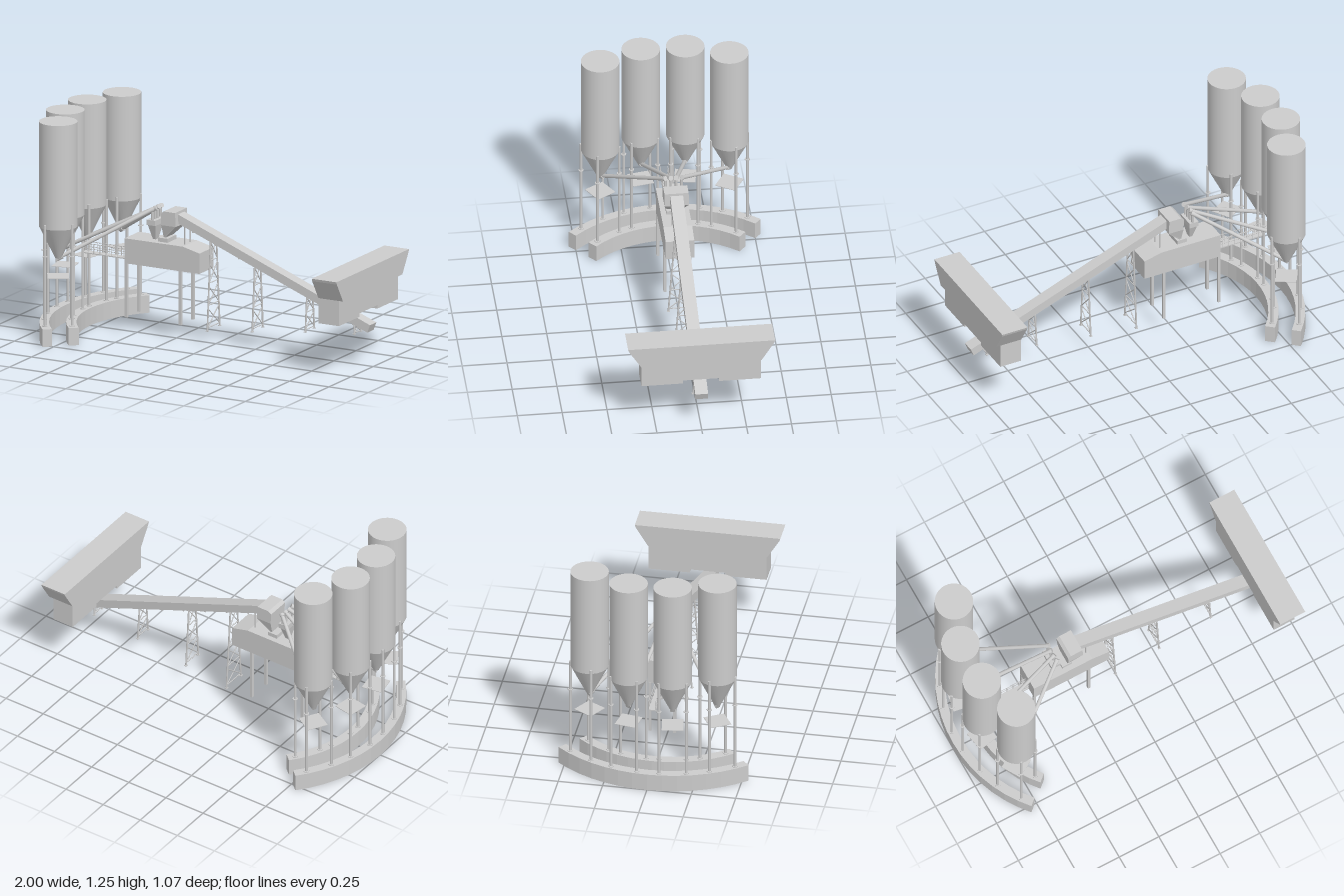
import * as THREE from 'three';

const V = (x, y, z) => new THREE.Vector3(x, y, z);

export function createModel() {
  const root = new THREE.Group();
  const flat = new THREE.MeshStandardMaterial({ color: 0xcccccc, flatShading: true });
  const smooth = new THREE.MeshStandardMaterial({ color: 0xcccccc });

  const add = (parent, name, geo, mat = flat) => {
    const m = new THREE.Mesh(geo, mat);
    m.name = name;
    parent.add(m);
    return m;
  };
  const group = (name) => {
    const g = new THREE.Group();
    g.name = name;
    root.add(g);
    return g;
  };
  // box given by its min and max corners
  const box = (parent, name, x0, x1, y0, y1, z0, z1) =>
    add(parent, name, new THREE.BoxGeometry(x1 - x0, y1 - y0, z1 - z0)
      .translate((x0 + x1) / 2, (y0 + y1) / 2, (z0 + z1) / 2));
  // round bar between two points
  const rod = (parent, name, a, b, r, sides = 8) => {
    const m = add(parent, name, new THREE.CylinderGeometry(r, r, a.distanceTo(b), sides), smooth);
    m.position.copy(a).lerp(b, 0.5);
    m.quaternion.setFromUnitVectors(V(0, 1, 0), b.clone().sub(a).normalize());
    return m;
  };
  // side profile in x,y extruded evenly about z = 0
  const profile = (parent, name, pts, width) =>
    add(parent, name, new THREE.ExtrudeGeometry(
      new THREE.Shape(pts.map(p => new THREE.Vector2(...p))),
      { depth: width, bevelEnabled: false }).translate(0, 0, -width / 2));

  // Curved footings, concentric with the silo row
  const CX = -0.195, ROW = 0.704, END = 0.724;
  const footings = group('footings');
  for (const [r0, r1] of [[0.755, 0.808], [0.603, 0.66]]) {
    const pts = [], N = 14;
    const arc = (r, t) => new THREE.Vector2(CX - r * Math.cos(t), r * Math.sin(t));
    for (let i = 0; i <= N; i++) pts.push(arc(r1, -END + 2 * END * i / N));
    for (let i = N; i >= 0; i--) pts.push(arc(r0, -END + 2 * END * i / N));
    add(footings, 'curvedFooting', new THREE.ExtrudeGeometry(new THREE.Shape(pts),
      { depth: 0.1, bevelEnabled: false }).rotateX(-Math.PI / 2));
  }

  // Four silos, each with legs, plate and screw conveyor
  [-0.537, -0.177, 0.177, 0.537].forEach((t, i) => {
    const silo = group('silo');
    const x = CX - ROW * Math.cos(t), z = ROW * Math.sin(t), R = 0.107;
    add(silo, 'siloBody', new THREE.CylinderGeometry(R, R, 0.6, 32), smooth).position.set(x, 0.955, z);
    add(silo, 'siloCone', new THREE.CylinderGeometry(R, 0.016, 0.185, 32), smooth).position.set(x, 0.5625, z);
    for (let k = 0; k < 4; k++) {
      const a = t + Math.PI / 4 + k * Math.PI / 2;
      const lx = x - R * Math.cos(a), lz = z + R * Math.sin(a);
      rod(silo, 'siloLeg', V(lx, 0.1, lz), V(lx, 0.68, lz), 0.008);
      rod(silo, 'legFlange', V(lx, 0.496, lz), V(lx, 0.5, lz), 0.015);
      rod(silo, 'legBase', V(lx, 0.1, lz), V(lx, 0.104, lz), 0.016);
    }
    const plate = add(silo, 'siloPlate', new THREE.BoxGeometry(0.12, 0.003, 0.12));
    plate.position.set(x, 0.367, z);
    plate.rotation.y = t;

    // Screw conveyor up to the weigh hopper
    const low = V(x - 0.01, 0.465, z * 1.01), high = V(-0.37, 0.735, (i - 1.5) * 0.03);
    rod(silo, 'screwTube', low, high, 0.011, 12);
    rod(silo, 'screwFoot', low, low.clone().lerp(high, 0.06), 0.015, 12);
    rod(silo, 'screwMotor', high.clone().lerp(low, 0.025), high, 0.014, 12);
    rod(silo, 'screwInlet', V(x, 0.472, z), V(x, 0.5, z), 0.014, 12);
    rod(silo, 'screwOutlet', V(-0.378, 0.66, high.z), V(-0.378, 0.735, high.z), 0.008);
  });

  // Mixer house on four legs
  const mixer = group('mixerHouse');
  profile(mixer, 'mixerBody', [[-0.535, 0.41], [-0.06, 0.41], [-0.06, 0.527], [-0.165, 0.553], [-0.535, 0.553]], 0.16);
  for (const x of [-0.528, -0.185]) for (const s of [-1, 1])
    box(mixer, 'mixerLeg', x - 0.008, x + 0.008, 0.1, 0.41, s * 0.07 - 0.008, s * 0.07 + 0.008);
  box(mixer, 'mixerInlet', -0.34, -0.28, 0.553, 0.576, -0.05, 0.05);

  // Cement weigh hopper
  const weigh = group('weighHopper');
  box(weigh, 'weighHopperTop', -0.41, -0.355, 0.64, 0.67, -0.055, 0.055);
  add(weigh, 'weighHopperFunnel', new THREE.CylinderGeometry(0.6, 0.2, 1, 4)
    .rotateY(Math.PI / 4).scale(0.06, 0.09, 0.11)).position.set(-0.383, 0.597, 0);

  // Walkway with railings between the mixer and the silos
  const walk = group('walkway');
  box(walk, 'walkwayDeck', -0.84, -0.535, 0.416, 0.422, -0.022, 0.022);
  for (const z of [-0.021, 0.021]) {
    for (const y of [0.445, 0.474]) rod(walk, 'handrail', V(-0.84, y, z), V(-0.535, y, z), 0.002, 6);
    for (let k = 0; k < 9; k++) {
      const x = -0.838 + k * 0.0376;
      rod(walk, 'railPost', V(x, 0.42, z), V(x, 0.474, z), 0.002, 6);
    }
  }

  // Inclined belt conveyor with its discharge head
  const belt = group('beltConveyor');
  const slope = (0.245 - 0.72) / 1.22, n = V(slope, -1, 0).normalize().multiplyScalar(0.048);
  const topY = x => 0.72 + slope * (x + 0.22);
  profile(belt, 'beltBeam', [[-0.23 + n.x, topY(-0.23) + n.y], [1 + n.x, topY(1) + n.y],
    [1, topY(1)], [-0.23, topY(-0.23)]], 0.072);
  for (let x = -0.13; x < 0.95; x += 0.145)
    box(belt, 'returnRoller', x - 0.004, x + 0.004, topY(x) - 0.06, topY(x) - 0.045, -0.03, 0.03);
  profile(belt, 'dischargeHead', [[-0.31, 0.655], [-0.218, 0.655], [-0.222, 0.735], [-0.295, 0.735], [-0.313, 0.72]], 0.135);
  // chute narrowing towards its lower left lip
  const chute = profile(belt, 'dischargeChute',
    [[-0.306, 0.584], [-0.295, 0.58], [-0.218, 0.655], [-0.31, 0.655]], 0.135);
  const p = chute.geometry.attributes.position;
  for (let i = 0; i < p.count; i++) if (p.getY(i) < 0.62) p.setZ(i, p.getZ(i) * 0.7);
  chute.geometry.computeVertexNormals();

  // Lattice trestles under the belt: x, foot height, half foot spread
  for (const [x, foot, spread, bays] of [[-0.015, 0.085, 0.07, 4], [0.265, 0.115, 0.06, 3],
    [0.597, 0.155, 0.05, 2], [0.9, 0.18, 0.037, 1]]) {
    const g = group('trestle');
    const head = topY(x) - 0.05;
    const at = (s, f) => V(x, foot + (head - foot) * f, s * (spread + (0.033 - spread) * f));
    for (const s of [-1, 1]) {
      rod(g, 'trestleLeg', at(s, 0), at(s, 1), 0.005, 6);
      const b = at(s, 0);
      box(g, 'trestleFoot', x - 0.007, x + 0.007, foot, foot + 0.004, b.z - 0.008, b.z + 0.008);
    }
    for (let k = 0; k < bays; k++) {
      const a = (k + 0.15) / bays, b = (k + 1) / bays;
      rod(g, 'trestleRung', at(-1, a), at(1, a), 0.003, 6);
      rod(g, 'trestleBrace', at(-1, a), at(1, b), 0.003, 6);
      rod(g, 'trestleBrace', at(1, a), at(-1, b), 0.003, 6);
    }
  }
  for (const s of [-1, 1]) rod(belt, 'beltPost', V(-0.18, 0.54, s * 0.03), V(-0.18, 0.66, s * 0.03), 0.004, 6);

  // Aggregate bin: flared upper part over a notched lower box
  const bin = group('aggregateBin');
  const across = (name, pts, x0, x1) => add(bin, name, new THREE.ExtrudeGeometry(
    new THREE.Shape(pts.map(q => new THREE.Vector2(...q))), { depth: x1 - x0, bevelEnabled: false })
    .rotateY(Math.PI / 2).translate(x0, 0, 0));
  across('binHopper', [[-0.335, 0.45], [0.335, 0.45], [0.405, 0.563], [0.41, 0.578], [-0.41, 0.578], [-0.405, 0.563]], 0.84, 0.997);
  across('binBase', [[-0.333, 0.305], [-0.1, 0.305], [-0.1, 0.325], [0.1, 0.325], [0.1, 0.305],
    [0.333, 0.305], [0.333, 0.45], [-0.333, 0.45]], 0.84, 0.97);

  return root;
}
